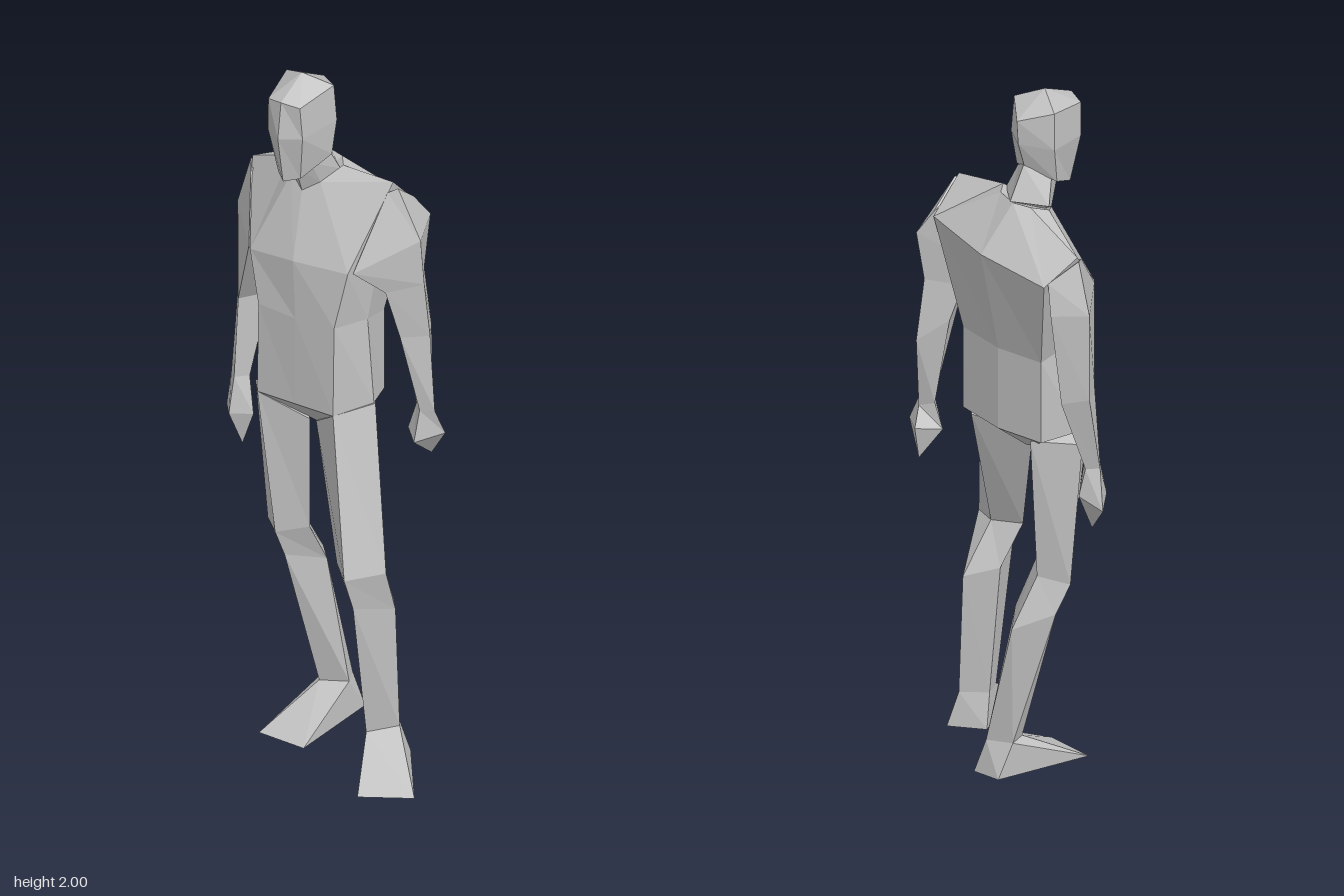
import * as THREE from 'three';

const skin = new THREE.MeshStandardMaterial({ color: 0xc0c0c0, flatShading: true });
skin.name = 'plain grey';

// Joins rings of [x, y, z] points, listed top to bottom; each runs front, +x, back, -x.
function loft(name, rings) {
  const n = rings[0].length;
  const index = [];
  for (let r = 0; r < rings.length - 1; r++) {
    for (let i = 0; i < n; i++) {
      const j = (i + 1) % n;
      const a = r * n + i, b = a + n, c = (r + 1) * n + j, d = r * n + j;
      index.push(a, b, c, a, c, d);
    }
  }
  const last = (rings.length - 1) * n;
  for (let i = 1; i < n - 1; i++) {
    index.push(0, i, i + 1, last, last + i + 1, last + i);
  }
  let geo = new THREE.BufferGeometry();
  geo.setAttribute('position', new THREE.Float32BufferAttribute(rings.flat(2), 3));
  geo.setIndex(index);
  geo = geo.toNonIndexed();
  geo.computeVertexNormals();
  const mesh = new THREE.Mesh(geo, skin);
  mesh.name = name;
  return mesh;
}

const point = (p, n) => Array.from({ length: n }, () => p);

// Six-sided symmetric ring about the head axis from front, front-side, side and back points
function headRing(front, frontSide, side, back) {
  const at = ([x, y, z], s) => [-0.085 + s * x, y, z];
  return [at(front, 1), at(frontSide, 1), at(side, 1), at(back, 1), at(side, -1), at(frontSide, -1)];
}

export function createModel() {
  const model = new THREE.Group();
  model.name = 'standingFigure';

  model.add(loft('head', [
    point([-0.085, 2, 0], 6),
    headRing([0, 1.955, 0.1], [0.05, 1.945, 0.085], [0.075, 1.965, -0.04], [0, 1.94, -0.105]),
    headRing([0, 1.85, 0.115], [0.055, 1.85, 0.08], [0.081, 1.86, -0.045], [0, 1.87, -0.1]),
    headRing([0, 1.71, 0.09], [0.035, 1.715, 0.06], [0.075, 1.76, -0.03], [0, 1.79, -0.075]),
  ]));

  model.add(loft('neck', [
    headRing([0, 1.72, 0.03], [0.035, 1.74, 0.01], [0.06, 1.77, -0.035], [0, 1.8, -0.08]),
    headRing([0, 1.64, 0], [0.045, 1.67, -0.02], [0.08, 1.7, -0.065], [0, 1.71, -0.13]),
  ]));

  // Torso: neck base, shoulders and chest, waist, hips, crotch
  model.add(loft('torso', [
    [[-0.085, 1.64, 0], [-0.04, 1.67, -0.02], [0, 1.71, -0.07], [-0.03, 1.71, -0.11],
      [-0.095, 1.71, -0.13], [-0.14, 1.705, -0.11], [-0.165, 1.69, -0.065], [-0.13, 1.67, -0.02]],
    [[-0.06, 1.47, 0.08], [0.1, 1.47, 0.06], [0.145, 1.695, -0.09], [0.145, 1.6, -0.185],
      [-0.075, 1.585, -0.23], [-0.28, 1.55, -0.2], [-0.315, 1.62, -0.11], [-0.21, 1.45, 0.06]],
    [[-0.05, 1.3, 0.085], [0.07, 1.305, 0.08], [0.11, 1.3, -0.02], [0.09, 1.27, -0.13],
      [-0.06, 1.27, -0.15], [-0.2, 1.27, -0.13], [-0.215, 1.3, -0.03], [-0.17, 1.305, 0.08]],
    [[-0.05, 1.04, 0.085], [0.07, 1.04, 0.085], [0.13, 1.05, -0.02], [0.09, 1.03, -0.13],
      [-0.06, 1.03, -0.15], [-0.2, 1.03, -0.13], [-0.24, 1.04, -0.02], [-0.17, 1.04, 0.085]],
    point([-0.05, 0.93, -0.03], 8),
  ]));

  // Arms: shoulder, armpit, (upper arm), elbow, wrist
  const leftWrist = [[0.215, 1.01, -0.11], [0.25, 1.01, -0.13], [0.22, 1, -0.165], [0.185, 1.01, -0.14]];
  model.add(loft('leftArm', [
    [[0.14, 1.67, -0.07], [0.16, 1.68, -0.09], [0.15, 1.61, -0.18], [0.12, 1.66, -0.1]],
    [[0.11, 1.47, 0.05], [0.225, 1.535, -0.1], [0.18, 1.55, -0.215], [0.1, 1.45, -0.09]],
    [[0.16, 1.39, -0.03], [0.23, 1.4, -0.11], [0.18, 1.4, -0.185], [0.12, 1.37, -0.1]],
    [[0.18, 1.24, -0.07], [0.235, 1.235, -0.13], [0.19, 1.22, -0.205], [0.14, 1.27, -0.13]],
    leftWrist,
  ]));
  model.add(loft('leftHand', [
    leftWrist,
    [[0.21, 0.92, -0.09], [0.27, 0.94, -0.15], [0.2, 0.95, -0.2], [0.165, 0.935, -0.13]],
    point([0.21, 0.85, -0.175], 4),
  ]));

  const rightWrist = [[-0.32, 0.98, -0.03], [-0.29, 0.98, -0.06], [-0.32, 0.98, -0.085], [-0.345, 0.98, -0.055]];
  model.add(loft('rightArm', [
    [[-0.3, 1.6, -0.08], [-0.28, 1.6, -0.1], [-0.285, 1.56, -0.19], [-0.32, 1.61, -0.11]],
    [[-0.22, 1.45, 0.05], [-0.21, 1.45, -0.08], [-0.3, 1.47, -0.195], [-0.365, 1.465, -0.115]],
    [[-0.32, 1.21, -0.05], [-0.26, 1.22, -0.11], [-0.31, 1.2, -0.165], [-0.36, 1.21, -0.11]],
    rightWrist,
  ]));
  model.add(loft('rightHand', [
    rightWrist,
    [[-0.32, 0.88, -0.005], [-0.265, 0.88, -0.04], [-0.31, 0.9, -0.1], [-0.37, 0.865, -0.07]],
    point([-0.3, 0.78, -0.04], 4),
  ]));

  // Legs: hip, knee, calf, ankle; the left one steps forward
  const leftAnkle = [[0.165, 0.1, 0.07], [0.225, 0.105, 0], [0.2, 0.1, -0.035], [0.14, 0.1, 0.02]];
  model.add(loft('leftLeg', [
    [[0.07, 1.04, 0.085], [0.135, 1.05, -0.02], [0.06, 1.02, -0.13], [-0.04, 0.95, 0]],
    [[0.165, 0.61, 0.175], [0.225, 0.6, 0.065], [0.16, 0.6, 0.045], [0.085, 0.6, 0.09]],
    [[0.17, 0.51, 0.14], [0.225, 0.47, 0.02], [0.18, 0.455, -0.04], [0.11, 0.48, 0.03]],
    leftAnkle,
  ]));
  model.add(loft('leftFoot', [
    leftAnkle,
    [[0.24, 0, 0.225], [0.37, 0, 0.148], [0.22, 0, -0.06], [0.13, 0, 0]],
  ]));

  const rightAnkle = [[-0.09, 0.1, -0.09], [-0.015, 0.105, -0.12], [-0.04, 0.1, -0.175], [-0.105, 0.1, -0.14]];
  model.add(loft('rightLeg', [
    [[-0.17, 1.04, 0.085], [-0.06, 0.95, 0], [-0.16, 1.02, -0.13], [-0.245, 1, -0.02]],
    [[-0.15, 0.59, 0.03], [-0.08, 0.6, -0.03], [-0.15, 0.6, -0.095], [-0.22, 0.58, -0.04]],
    [[-0.14, 0.51, 0], [-0.065, 0.48, -0.09], [-0.13, 0.46, -0.17], [-0.205, 0.5, -0.08]],
    rightAnkle,
  ]));
  model.add(loft('rightFoot', [
    rightAnkle,
    [[-0.165, 0, 0.085], [-0.02, 0, 0.09], [-0.01, 0, -0.19], [-0.09, 0, -0.18]],
  ]));

  return model;
}
